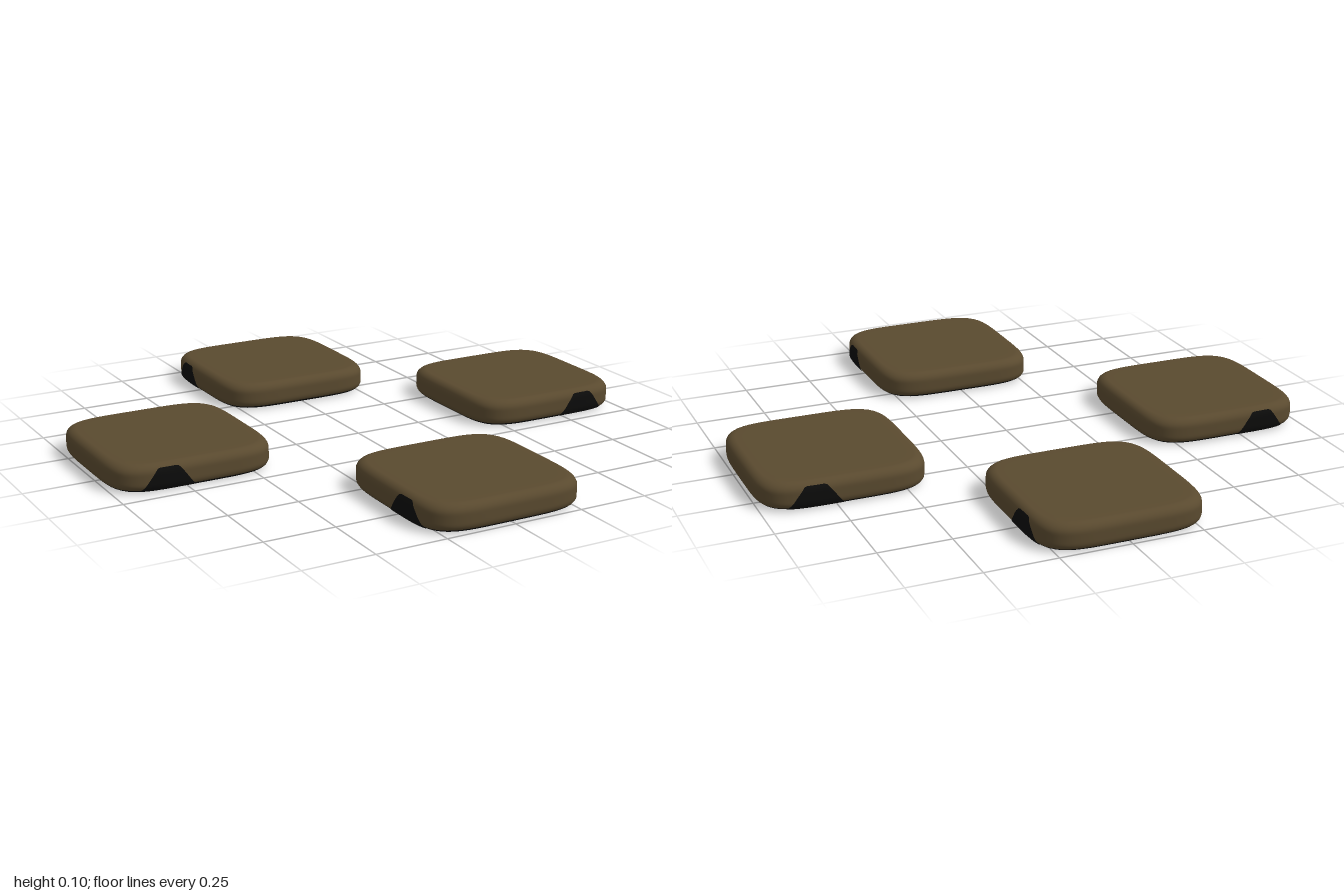
import * as THREE from 'three';
import { mergeVertices } from 'three/addons/utils/BufferGeometryUtils.js';

const HALF = 0.295;    // half width of a pad
const HEIGHT = 0.097;
const EDGE = 0.032;    // rounding of the upper and lower rims
const SOLE = 0.012;    // height of the dark underside
const POWER = 5;       // squareness of the plan outline

// Half width of the pad at height y
function halfAt(y) {
  const d = Math.max(0, Math.min(y, HEIGHT - y));
  return d < EDGE ? HALF - EDGE + Math.sqrt(EDGE ** 2 - (EDGE - d) ** 2) : HALF;
}

// Turned profile pushed out into a rounded square
function squareLathe(points) {
  let geo = new THREE.LatheGeometry(points, 96);
  const p = geo.attributes.position;
  for (let i = 0; i < p.count; i++) {
    const x = p.getX(i), z = p.getZ(i), r = Math.hypot(x, z);
    if (r < 1e-6) continue;
    const k = (Math.abs(x / r) ** POWER + Math.abs(z / r) ** POWER) ** (-1 / POWER);
    p.setX(i, x * k);
    p.setZ(i, z * k);
  }
  geo.deleteAttribute('uv');
  geo.deleteAttribute('normal');
  geo = mergeVertices(geo, 1e-5);
  geo.computeVertexNormals();
  return geo;
}

// Rim points between two heights, evenly spaced around the rounding
function rim(y0, y1, steps) {
  return Array.from({ length: steps + 1 }, (_, i) => {
    const t = (1 - Math.cos((Math.PI * i) / steps)) / 2;
    const y = y0 + (y1 - y0) * t;
    return new THREE.Vector2(halfAt(y), y);
  });
}

// Dark mound-shaped mark hugging the +x side (side = 1) or -x side (side = -1)
function markGeometry(side) {
  const from = 0.025, to = 0.21, cols = 20, rows = 10;
  const geo = new THREE.PlaneGeometry(1, 1, cols, rows);
  const p = geo.attributes.position;
  for (let i = 0; i < p.count; i++) {
    const u = p.getX(i) + 0.5, v = p.getY(i) + 0.5;
    const top = SOLE + 0.073 * Math.min(1, 1.25 * Math.sin(Math.PI * u) ** 1.2);
    const y = 0.006 + (top - 0.006) * v;
    const z = from + (to - from) * u;
    const r = halfAt(y);
    const x = r * (1 - (z / r) ** POWER) ** (1 / POWER) + 0.003;
    p.setXYZ(i, side * x, y, z);
  }
  geo.computeVertexNormals();
  // Keep the normals outward on the side where the winding is reversed
  if (side > 0) {
    geo.index.array.reverse();
    geo.computeVertexNormals();
  }
  return geo;
}

export function createModel() {
  const brown = new THREE.MeshStandardMaterial({ color: 0x5a4a2f });
  brown.name = 'brown pad';
  const black = new THREE.MeshStandardMaterial({ color: 0x0c0c0b });
  black.name = 'black underside';

  const V = (x, y) => new THREE.Vector2(x, y);
  const inner = HALF - EDGE;
  const padGeo = squareLathe([...rim(SOLE, HEIGHT, 20), V(inner - 0.02, HEIGHT), V(0, HEIGHT)]);
  const soleGeo = squareLathe([V(0, 0), V(inner - 0.02, 0), ...rim(0, SOLE, 6)]);
  const marks = [-1, 1].map(markGeometry);

  const model = new THREE.Group();
  model.name = 'fourPads';

  // Each pad's local +z points away from the centre
  const pads = [
    ['frontPad', 0, 0.705, 0],
    ['leftPad', 0.705, -0.083, Math.PI / 2],
    ['backPad', 0, -0.705, Math.PI],
    ['rightPad', -0.705, -0.083, -Math.PI / 2],
  ];
  for (const [name, x, z, turn] of pads) {
    const pad = new THREE.Group();
    pad.name = name;
    const add = (geo, mat, part) => {
      const mesh = new THREE.Mesh(geo, mat);
      mesh.name = part;
      pad.add(mesh);
    };
    add(padGeo, brown, 'padBody');
    add(soleGeo, black, 'padUnderside');
    marks.forEach((geo) => add(geo, black, 'sideMark'));
    pad.position.set(x, 0, z);
    pad.rotation.y = turn;
    model.add(pad);
  }
  return model;
}
